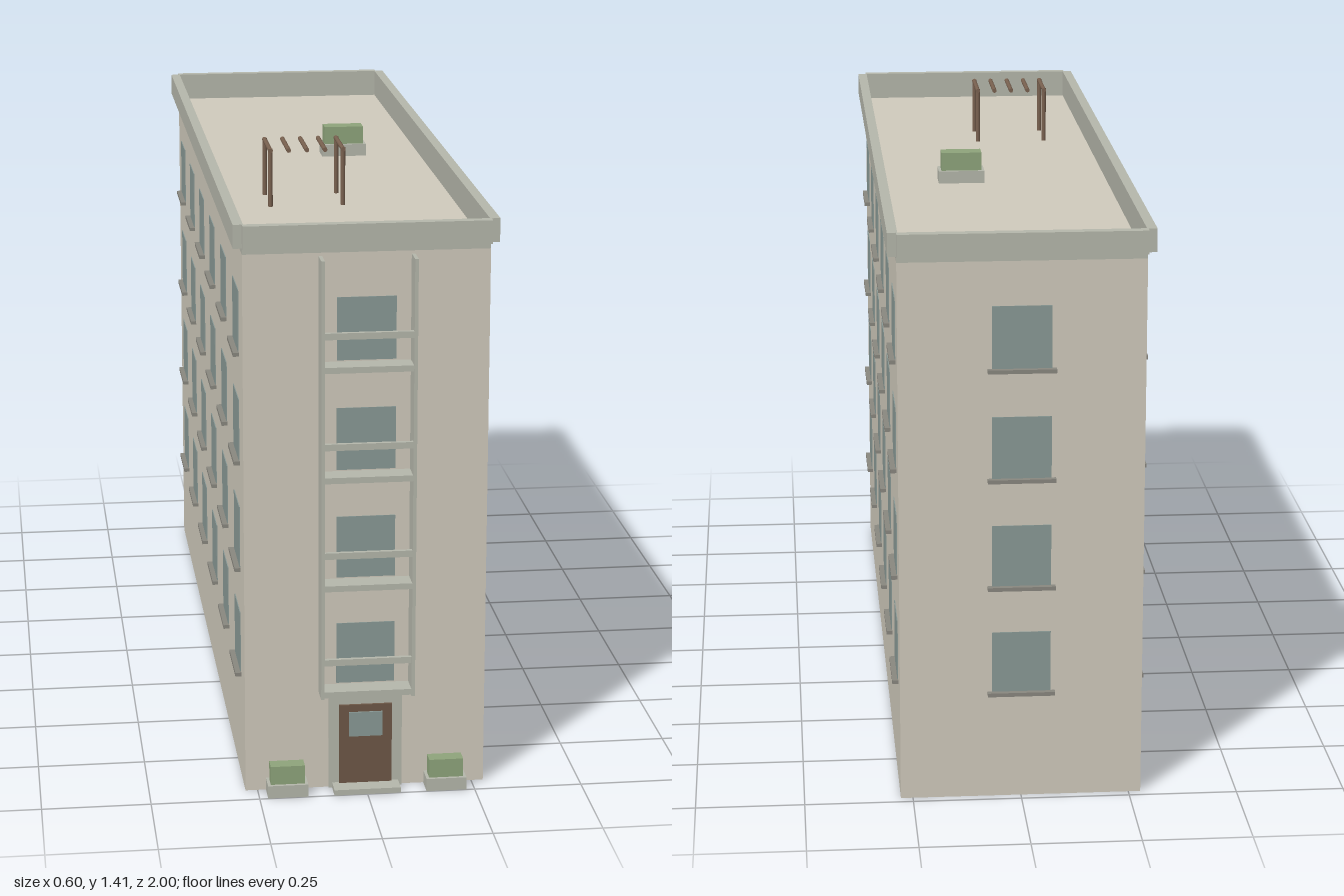
import * as THREE from 'three';

const mat = (color) => new THREE.MeshStandardMaterial({ color });

export function createModel() {
  const root = new THREE.Group();
  root.name = 'apartmentBlock';
  const wall = mat(0xd1cbbd), trim = mat(0xb6b8ac), glass = mat(0x8a9a96);
  const sillMat = mat(0x8a8880), wood = mat(0x6e5847), leaf = mat(0x8fa57c), post = mat(0x7a6250);

  // Box given by its lower and upper limits on each axis
  const box = (name, m, [x0, x1], [y0, y1], [z0, z1], parent = root) => {
    const mesh = new THREE.Mesh(new THREE.BoxGeometry(x1 - x0, y1 - y0, z1 - z0), m);
    mesh.position.set((x0 + x1) / 2, (y0 + y1) / 2, (z0 + z1) / 2);
    mesh.name = name;
    parent.add(mesh);
    return mesh;
  };
  const group = (name) => {
    const g = new THREE.Group();
    g.name = name;
    root.add(g);
    return g;
  };

  const W = 0.278, F = 0.946, B = -0.979, ROOF = 1.272, TOP = 1.34;

  // Main body with flat roof
  box('body', wall, [-W, W], [0, ROOF], [B, F]);

  // Parapet: overhanging strips with open corner notches, on a thin inner rim
  const parapet = group('parapet');
  const t = 0.003;
  for (const s of [-1, 1]) {
    const side = (a, b) => (s > 0 ? [a, b] : [-b, -a]);
    box('parapetSide', trim, side(W, W + 0.02), [1.286, TOP], [B, F], parapet);
    box('rimSide', trim, side(W - t, W), [ROOF, TOP], [B, F], parapet);
  }
  box('parapetFront', trim, [-W, W], [1.286, TOP], [F, F + 0.02], parapet);
  box('parapetBack', trim, [-W, W], [1.286, TOP], [B - 0.021, B], parapet);
  box('rimFront', trim, [-W + t, W - t], [ROOF, TOP], [F - t, F], parapet);
  box('rimBack', trim, [-W + t, W - t], [ROOF, TOP], [B, B + t], parapet);

  // Window in its own frame, facing +z, with the sill line at y = 0
  const addWindow = (x, y, z, turn, withSill = true) => {
    const g = group('window');
    box('pane', glass, [-0.067, 0.067], [0.003, 0.148], [-0.002, 0.002], g);
    if (withSill) box('sill', sillMat, [-0.077, 0.077], [-0.005, 0.004], [-0.002, 0.014], g);
    g.position.set(x, y, z);
    g.rotation.y = turn;
  };

  for (let floor = 0; floor < 4; floor++) {
    const y = 0.254 + floor * 0.256;
    for (let i = 0; i < 6; i++) {
      const z = 0.784 - i * 0.3205;
      addWindow(W, y, z, Math.PI / 2);
      addWindow(-W, y, z, -Math.PI / 2);
    }
    addWindow(0, y, B, Math.PI);
    addWindow(0, y, F, 0, false);

    // Balcony slab and front rail
    const balcony = group('balcony');
    box('balconySlab', trim, [-0.106, 0.106], [y - 0.014, y], [F, 0.998], balcony);
    box('balconyRail', trim, [-0.1, 0.1], [y + 0.063, y + 0.078], [0.987, 0.997], balcony);
  }

  // Tall fins on both sides of the balconies
  for (const x of [-0.104, 0.104]) {
    box('balconyFin', trim, [x - 0.004, x + 0.004], [0.237, 1.265], [F, 1]);
  }

  // Entrance
  const entrance = group('entrance');
  box('doorFrame', trim, [-0.085, 0.085], [0, 0.237], [F, 0.953], entrance);
  box('door', wood, [-0.061, 0.061], [0.01, 0.205], [0.95, 0.959], entrance);
  box('doorPane', glass, [-0.039, 0.039], [0.129, 0.188], [0.955, 0.963], entrance);
  box('doorStep', trim, [-0.077, 0.077], [0, 0.013], [F, 1], entrance);

  // Planters beside the door and on the roof
  const planter = (x, y, z, w, d) => {
    const g = group('planter');
    box('planterBox', trim, [-w / 2, w / 2], [0, 0.03], [-d / 2, d / 2], g);
    box('planterHedge', leaf, [-w / 2 + 0.007, w / 2 - 0.007], [0.03, 0.074], [-d / 2 + 0.008, d / 2 - 0.008], g);
    g.position.set(x, y, z);
  };
  planter(-0.184, 0, 0.973, 0.093, 0.052);
  planter(0.184, 0, 0.973, 0.093, 0.052);
  planter(0.082, ROOF, -0.149, 0.112, 0.062);

  // Roof pergola: four posts and five beams
  const pergola = group('pergola');
  const rod = (name, x, y, z, length, alongZ) => {
    const mesh = new THREE.Mesh(new THREE.CylinderGeometry(0.0055, 0.0055, length, 10), post);
    mesh.position.set(x, y, z);
    if (alongZ) mesh.rotation.x = Math.PI / 2;
    mesh.name = name;
    pergola.add(mesh);
  };
  for (let i = 0; i < 5; i++) {
    const x = -0.165 + i * 0.043;
    rod('pergolaBeam', x, 1.406, 0.39, 0.146, true);
    if (i % 4 === 0) {
      for (const z of [0.324, 0.457]) rod('pergolaPost', x, (ROOF + 1.41) / 2, z, 1.41 - ROOF, false);
    }
  }

  return root;
}
